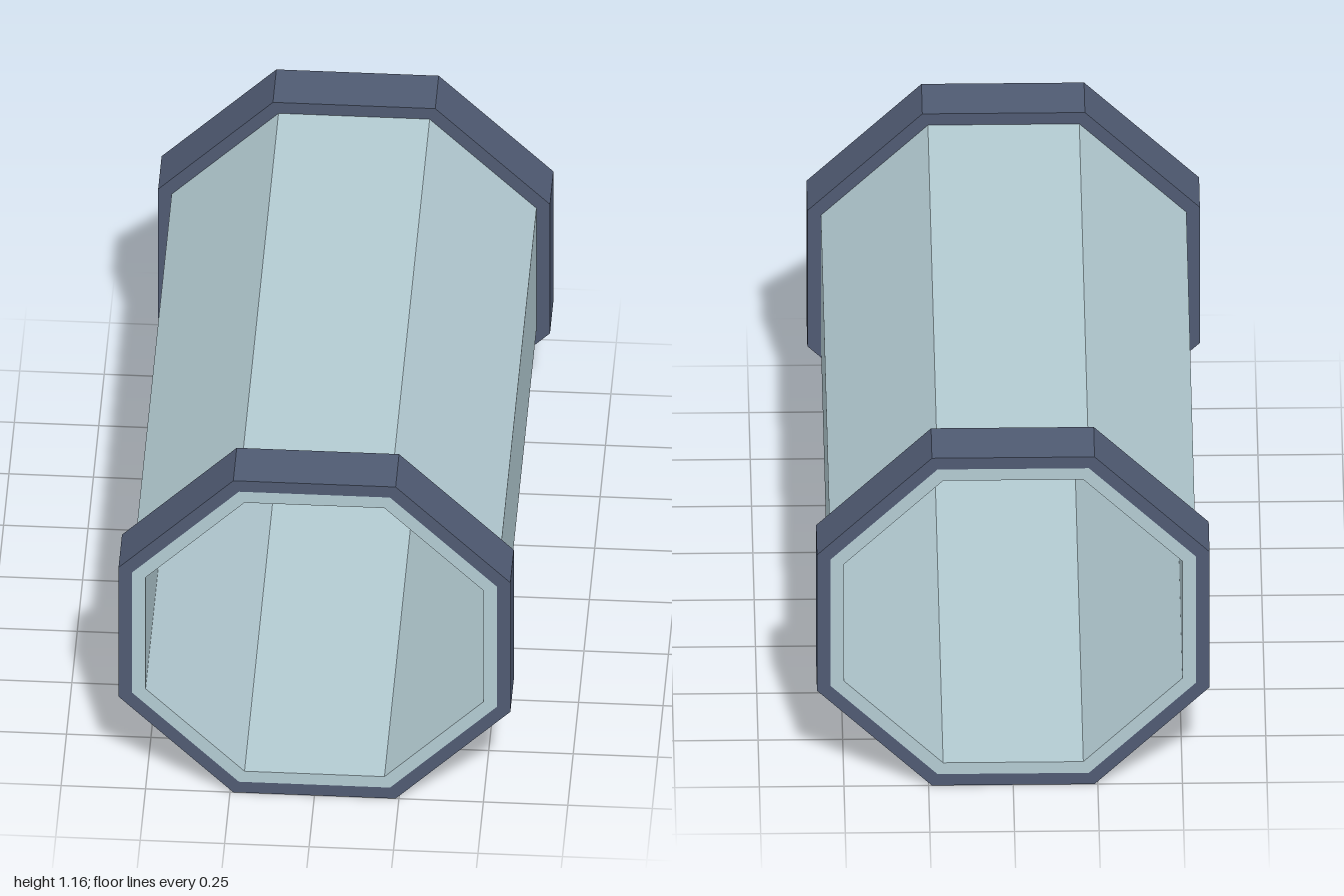
import * as THREE from 'three';

// Eight-sided outline with flat top and bottom; apothem is the distance to a side
function octagon(Target, apothem) {
  const r = apothem / Math.cos(Math.PI / 8);
  const points = [];
  for (let i = 0; i < 8; i++) {
    const a = Math.PI / 8 + (i * Math.PI) / 4;
    points.push(new THREE.Vector2(r * Math.cos(a), r * Math.sin(a)));
  }
  return new Target(points);
}

// Hollow octagonal prism centred on z
function ring(name, outer, inner, length, z, material) {
  const shape = octagon(THREE.Shape, outer);
  shape.holes.push(octagon(THREE.Path, inner));
  const geometry = new THREE.ExtrudeGeometry(shape, { depth: length, bevelEnabled: false });
  geometry.translate(0, 0, -length / 2);
  const mesh = new THREE.Mesh(geometry, material);
  mesh.name = name;
  mesh.position.set(0, 0.58, z);
  return mesh;
}

export function createModel() {
  const paleBlue = new THREE.MeshStandardMaterial({ name: 'paleBlue', color: 0xb4ccd3 });
  const slateBlue = new THREE.MeshStandardMaterial({ name: 'slateBlue', color: 0x505b73 });

  const model = new THREE.Group();
  model.name = 'octagonalTunnel';

  // Open tube running the full length
  model.add(ring('tube', 0.54, 0.5, 2, 0, paleBlue));

  // Collar at each end, flush with the tube's rim
  model.add(ring('frontCollar', 0.58, 0.54, 0.16, 0.92, slateBlue));
  model.add(ring('backCollar', 0.58, 0.54, 0.16, -0.92, slateBlue));

  return model;
}
